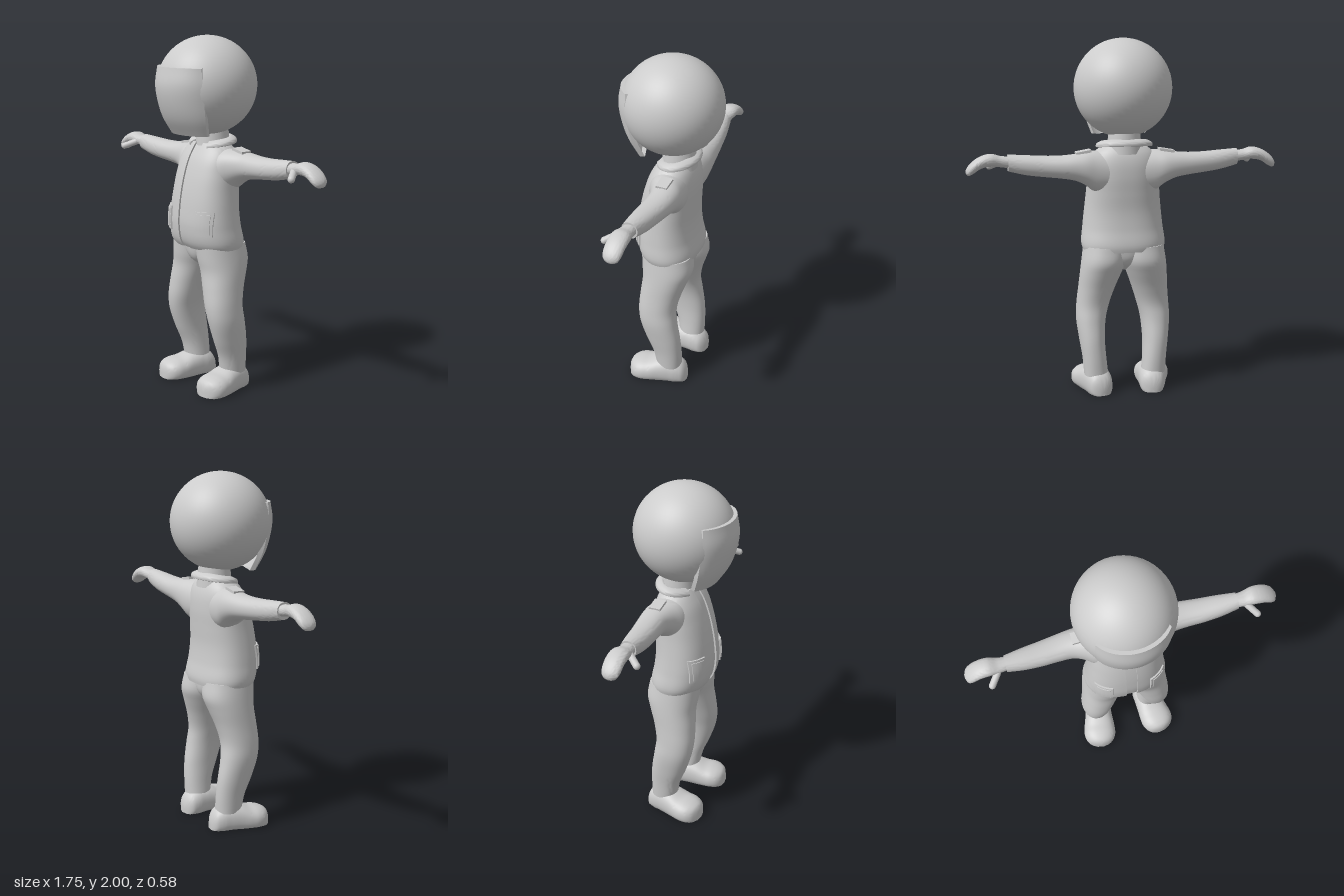
import * as THREE from 'three';
import { toCreasedNormals } from 'three/addons/utils/BufferGeometryUtils.js';

const material = new THREE.MeshStandardMaterial({ color: 0xcccccc });
const V = (x, y, z) => new THREE.Vector3(x, y, z);
const spow = (v, p) => Math.sign(v) * Math.abs(v) ** p;

// Smooth interpolation of rows [t, a, b, ...]
function curveOf(rows) {
  const f = new THREE.CubicInterpolant(rows.map(r => r[0]), rows.flatMap(r => r.slice(1)), rows[0].length - 1);
  return t => Array.from(f.evaluate(t));
}

// Evenly sample rows and turn each sample into a ring of points
function ringsFrom(rows, steps, makeRing) {
  const at = curveOf(rows), t0 = rows[0][0], t1 = rows[rows.length - 1][0];
  return Array.from({ length: steps + 1 }, (_, i) => {
    const t = i === steps ? t1 : t0 + (t1 - t0) * i / steps;
    return makeRing(t, at(t));
  });
}

// Rounded section spanning two ranges; place(u, v) gives the 3D point
function section(u0, u1, v0, v1, place, power = 2.2, n = 40) {
  return Array.from({ length: n }, (_, i) => {
    const a = i / n * Math.PI * 2;
    return place((u0 + u1) / 2 + (u1 - u0) / 2 * spow(Math.cos(a), 2 / power),
      (v0 + v1) / 2 + (v1 - v0) / 2 * spow(Math.sin(a), 2 / power));
  });
}

// Closed skin over rings, capped at both ends and always facing outward
function loft(rings, crease = 0.8) {
  const n = rings[0].length, last = (rings.length - 1) * n, pts = rings.flat(), idx = [];
  for (let i = 0; i < rings.length - 1; i++) for (let j = 0; j < n; j++) {
    const a = i * n + j, b = i * n + (j + 1) % n;
    idx.push(a, b, a + n, b, b + n, a + n);
  }
  for (const [start, flip] of [[0, true], [last, false]]) {
    const mid = V(0, 0, 0);
    for (let j = 0; j < n; j++) mid.addScaledVector(pts[start + j], 1 / n);
    const c = pts.push(mid) - 1;
    for (let j = 0; j < n; j++) {
      const a = start + j, b = start + (j + 1) % n;
      idx.push(c, flip ? b : a, flip ? a : b);
    }
  }
  let volume = 0;
  for (let k = 0; k < idx.length; k += 3)
    volume += pts[idx[k]].dot(pts[idx[k + 1]].clone().cross(pts[idx[k + 2]]));
  if (volume < 0) idx.reverse();
  const g = new THREE.BufferGeometry().setFromPoints(pts);
  g.setIndex(idx);
  return toCreasedNormals(g, crease);
}

// Jacket profile: y, half width, back z, front z
const JACKET = [
  [0.825, 0.230, -0.170, 0.138], [0.85, 0.237, -0.174, 0.155], [0.95, 0.228, -0.157, 0.175],
  [1.05, 0.217, -0.148, 0.170], [1.15, 0.207, -0.152, 0.155], [1.25, 0.200, -0.156, 0.130],
  [1.33, 0.188, -0.148, 0.100], [1.38, 0.160, -0.130, 0.070], [1.41, 0.120, -0.110, 0.050],
];
const ARM = [ // x, y range, z range
  [0.08, 1.14, 1.38, -0.14, 0.08], [0.17, 1.155, 1.385, -0.150, 0.06], [0.22, 1.195, 1.381, -0.155, 0.03],
  [0.28, 1.225, 1.373, -0.153, 0.006], [0.36, 1.240, 1.366, -0.146, 0], [0.45, 1.250, 1.366, -0.136, 0],
  [0.55, 1.263, 1.372, -0.125, -0.005], [0.65, 1.286, 1.378, -0.108, -0.018],
];
const HAND = [ // x, y range, z range
  [0.63, 1.300, 1.366, -0.100, -0.028], [0.69, 1.310, 1.371, -0.105, -0.018], [0.74, 1.315, 1.384, -0.115, -0.012],
  [0.80, 1.303, 1.370, -0.117, -0.012], [0.845, 1.274, 1.340, -0.113, -0.015], [0.867, 1.267, 1.316, -0.100, -0.028],
  [0.877, 1.279, 1.299, -0.075, -0.052],
];
const LEG = [ // y, x range, z range
  [0.10, 0.098, 0.235, -0.135, 0.015], [0.2, 0.108, 0.243, -0.135, 0.035], [0.3, 0.112, 0.257, -0.128, 0.075],
  [0.42, 0.102, 0.270, -0.108, 0.112], [0.5, 0.082, 0.266, -0.100, 0.122], [0.6, 0.050, 0.256, -0.120, 0.118],
  [0.7, 0.012, 0.247, -0.155, 0.112], [0.76, -0.010, 0.240, -0.174, 0.120], [0.85, -0.020, 0.227, -0.162, 0.128],
];
const FOOT = [ // z, half width, height
  [-0.168, 0.022, 0.055], [-0.155, 0.050, 0.090], [-0.12, 0.070, 0.125], [-0.06, 0.080, 0.142],
  [0, 0.088, 0.135], [0.06, 0.097, 0.115], [0.11, 0.098, 0.108], [0.15, 0.080, 0.095],
  [0.172, 0.050, 0.078], [0.18, 0.022, 0.058],
];
const VISOR = [ // y, half width, edge z, front z
  [1.463, 0.158, 0.118, 0.185], [1.55, 0.186, 0.148, 0.242], [1.65, 0.200, 0.168, 0.279],
  [1.74, 0.203, 0.180, 0.291], [1.835, 0.192, 0.180, 0.274],
];

const jacketAt = curveOf(JACKET), JACKET_POWER = 2.3;

// Jacket section with an open strip down the front
function jacketRing(y, [w, z0, z1]) {
  const gap = 0.032, c = (z0 + z1) / 2, d = (z1 - z0) / 2, n = 72, p = 2 / JACKET_POWER;
  const a0 = Math.asin((gap / w) ** (1 / p));
  const ring = Array.from({ length: n + 1 }, (_, i) => {
    const a = a0 + (2 * Math.PI - 2 * a0) * i / n;
    return V(w * spow(Math.sin(a), p), y, c + d * spow(Math.cos(a), p));
  });
  const inset = ring[0].z - 0.01;
  ring.push(V(-gap, y, inset), V(0, y, inset + 0.002), V(gap, y, inset));
  return ring;
}

// Box bent to follow the front of the jacket
function pocketGeometry(x, y, w, h, depth) {
  const g = new THREE.BoxGeometry(w, h, depth, 10, 10, 1), p = g.attributes.position;
  for (let i = 0; i < p.count; i++) {
    const px = x + p.getX(i), py = y + p.getY(i), [hw, z0, z1] = jacketAt(py);
    const k = Math.min(Math.abs(px) / hw, 0.98);
    const surface = (z0 + z1) / 2 + (z1 - z0) / 2 * (1 - k ** JACKET_POWER) ** (1 / JACKET_POWER);
    p.setXYZ(i, px + Math.sign(x) * p.getZ(i) * 0.5, py, surface + p.getZ(i));
  }
  return toCreasedNormals(g, 0.6);
}

export function createModel() {
  const model = new THREE.Group();
  const add = (name, geometry, parent = model) => {
    const mesh = new THREE.Mesh(geometry, material);
    mesh.name = name;
    parent.add(mesh);
    return mesh;
  };

  // Helmet, visor and neck
  const helmet = add('helmet', new THREE.SphereGeometry(0.273, 48, 32));
  helmet.position.set(0, 1.727, -0.005);
  helmet.scale.z = 1.03;
  add('visor', loft(ringsFrom(VISOR, 20, (y, [e, g, f]) => {
    const T = 1.1, n = 24, outer = [], inner = [];
    for (let i = 0; i <= n; i++) {
      const a = T * (i / n * 2 - 1);
      const x = e * Math.sin(a) / Math.sin(T);
      const z = g + (f - g) * (Math.cos(a) - Math.cos(T)) / (1 - Math.cos(T));
      outer.push(V(x, y, z));
      inner.unshift(V(x * 0.94, y, z - 0.025));
    }
    return [...outer, ...inner];
  }), 0.6));
  const neck = add('neck', new THREE.CylinderGeometry(0.085, 0.1, 0.14, 32));
  neck.position.set(0, 1.44, -0.045);

  // Jacket with open collar
  add('jacket', loft(ringsFrom(JACKET, 40, jacketRing), 0.7));
  const collar = [];
  for (let i = 0; i <= 40; i++) {
    const a = 0.5 + (2 * Math.PI - 1) * i / 40, sx = Math.sin(a), cz = Math.cos(a);
    const y = 1.422 - 0.014 * cz - 0.012 * Math.max(0, cz) ** 4;
    collar.push(section(-0.022, 0.022, -0.014, 0.014,
      (u, v) => V((0.138 + u) * sx, y + v - u * 0.45, -0.045 + (0.095 + u) * cz), 3, 16));
  }
  add('collar', loft(collar));

  // Seat of the trousers, joining both legs
  add('trouserSeat', loft(ringsFrom(
    [[0.705, 0.015, -0.06, 0.04], [0.75, 0.08, -0.13, 0.095], [0.85, 0.2, -0.155, 0.125]], 10,
    (y, [w, z0, z1]) => section(-w, w, z0, z1, (x, z) => V(x, y, z)))));

  for (const s of [1, -1]) {
    const side = new THREE.Group();
    side.name = s > 0 ? 'leftSide' : 'rightSide';
    model.add(side);

    // The right arm reaches slightly further forward
    const sway = x => s > 0 ? 0 : 0.03 * THREE.MathUtils.clamp((x - 0.1) / 0.55, 0, 1);
    const limbX = (x, [y0, y1, z0, z1]) =>
      section(y0, y1, z0, z1, (y, z) => V(s * x, y, z + sway(x)));
    add('sleeve', loft(ringsFrom(ARM, 36, limbX)), side);
    add('hand', loft(ringsFrom(HAND, 30, limbX), 1.2), side);
    const thumb = add('thumb', new THREE.CapsuleGeometry(0.019, 0.075, 8, 16), side);
    thumb.position.set(s * 0.722, 1.317, 0.002 + sway(0.72));
    thumb.quaternion.setFromUnitVectors(V(0, 1, 0), V(s * 0.06, -0.035, 0.075).normalize());

    add('trouserLeg', loft(ringsFrom(LEG, 40,
      (y, [x0, x1, z0, z1]) => section(x0, x1, z0, z1, (x, z) => V(s * x, y, z)))), side);

    // Shoe with flat sole, toes turned out
    const shoe = add('shoe', loft(ringsFrom(FOOT, 36,
      (z, [w, h]) => section(-w, w, -0.03, h, (x, y) => V(x, Math.max(0, y), z), 2.3)), 0.9), side);
    shoe.position.x = s * 0.172;
    shoe.rotation.y = s * 0.18;

    // Pocket with raised panel, and shoulder tab
    add('pocket', pocketGeometry(s * 0.152, 0.98, 0.09, 0.135, 0.016), side);
    add('pocketPanel', pocketGeometry(s * 0.152, 0.98, 0.068, 0.108, 0.024), side);
    const tab = add('shoulderTab', new THREE.BoxGeometry(0.085, 0.014, 0.065), side);
    tab.position.set(s * 0.235, 1.382, -0.062);
    tab.rotation.z = -s * 0.17;
  }
  return model;
}
